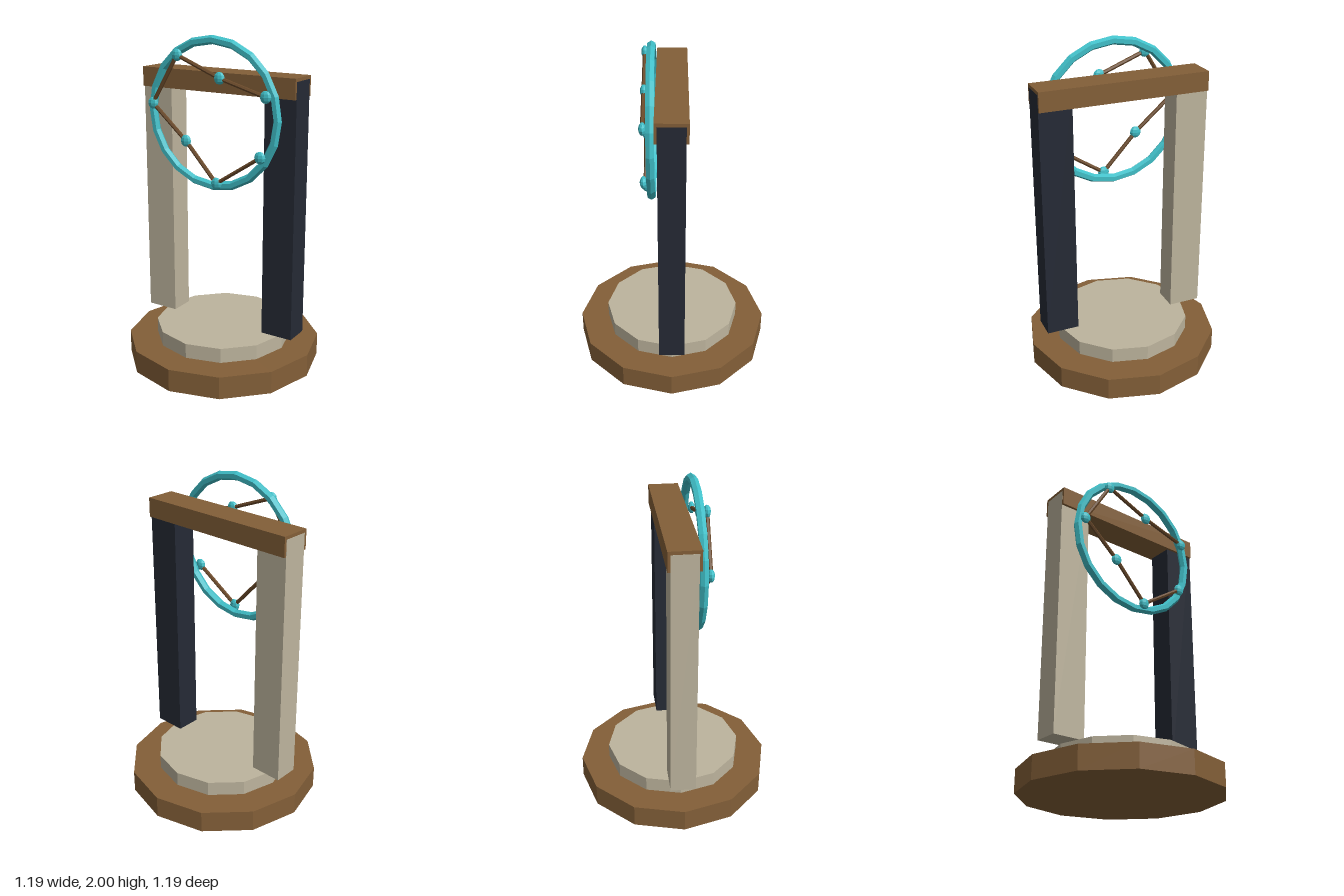
import * as THREE from 'three';

const paint = (color) => new THREE.MeshStandardMaterial({ color, flatShading: true });

export function createModel() {
  const model = new THREE.Group();
  const wood = paint(0x835f38);
  const stone = paint(0xbdb49d);
  const slate = paint(0x252a35);
  const teal = paint(0x40bfc8);
  const darkWood = paint(0x6b4a2a);

  const add = (name, geometry, material, x, y, z, parent = model) => {
    const mesh = new THREE.Mesh(geometry, material);
    mesh.name = name;
    mesh.position.set(x, y, z);
    parent.add(mesh);
    return mesh;
  };

  // Twelve-sided stepped base
  add('base', new THREE.CylinderGeometry(0.593, 0.593, 0.137, 12), wood, 0, 0.0685, 0);
  add('plinth', new THREE.CylinderGeometry(0.418, 0.418, 0.09, 12), stone, 0, 0.182, 0);

  // Two contrasting pillars, floating just above the plinth, under a lintel
  const pillar = new THREE.BoxGeometry(0.198, 1.525, 0.152);
  add('rightPillar', pillar, stone, -0.418, 1.0075, 0);
  add('leftPillar', pillar, slate, 0.418, 1.0075, 0);
  add('lintel', new THREE.BoxGeometry(1.032, 0.117, 0.182), wood, 0, 1.731, 0);

  // Ring hung on the front of the lintel
  add('ring', new THREE.TorusGeometry(0.424, 0.026, 6, 20), teal, 0, 1.55, 0.115);

  // Chain of flattened beads joined by thin rods
  const chain = new THREE.Group();
  chain.name = 'beadChain';
  model.add(chain);
  const points = [
    [0.368, 1.685], [0.07, 1.767], [-0.219, 1.88], [-0.397, 1.588],
    [-0.163, 1.385], [0.048, 1.155], [0.337, 1.343],
  ].map(([x, y]) => new THREE.Vector3(x, y, 0.155));

  const beadShape = new THREE.SphereGeometry(0.036, 8, 6).scale(1, 1, 0.58);
  const up = new THREE.Vector3(0, 1, 0);
  points.forEach((p, i) => {
    add('bead', beadShape, teal, p.x, p.y, p.z, chain);
    if (i === 0) return;
    const span = p.clone().sub(points[i - 1]);
    const mid = p.clone().add(points[i - 1]).multiplyScalar(0.5);
    const rodShape = new THREE.CylinderGeometry(0.012, 0.012, span.length(), 6);
    const rod = add('rod', rodShape, darkWood, mid.x, mid.y, mid.z, chain);
    rod.quaternion.setFromUnitVectors(up, span.normalize());
  });

  return model;
}
